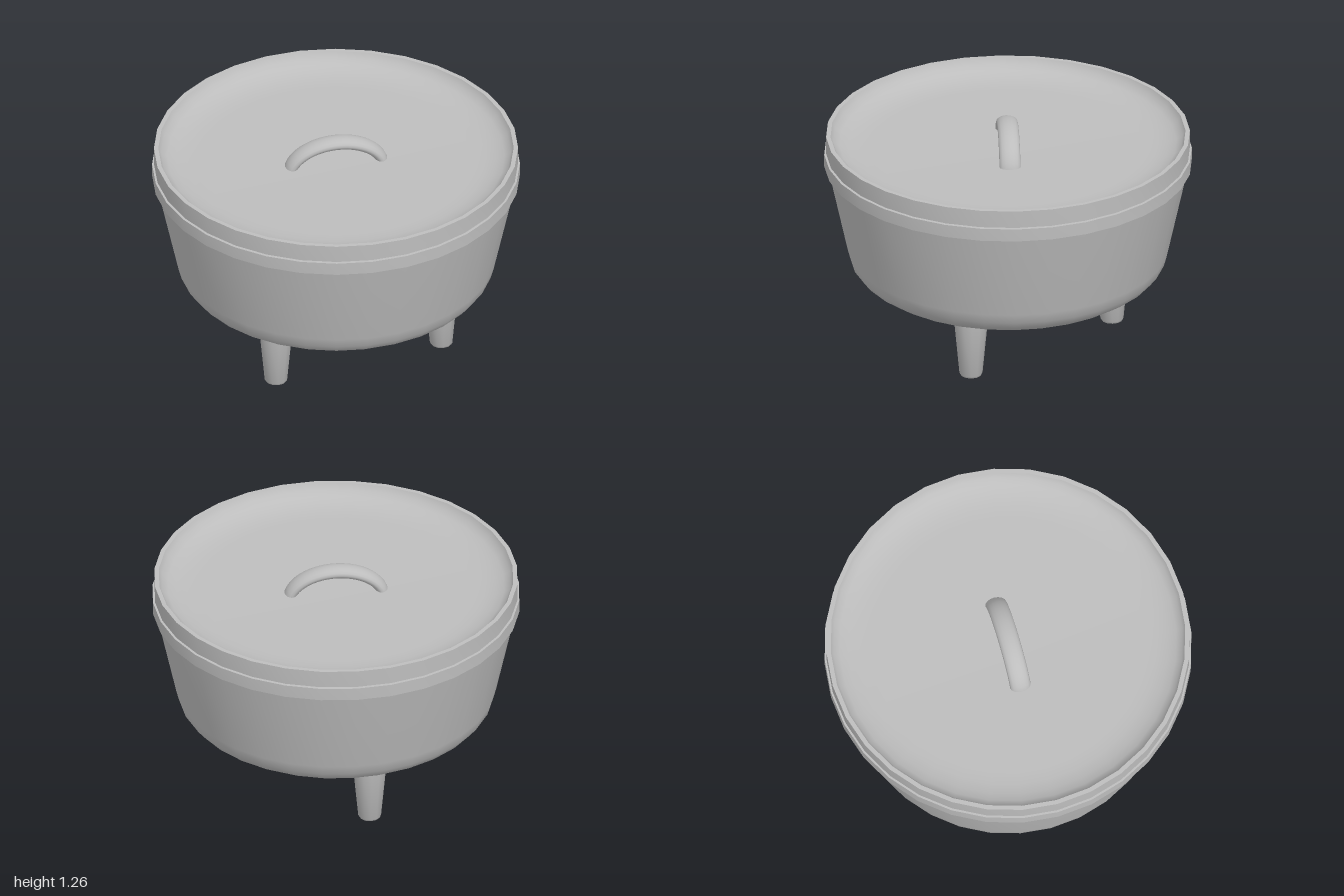
import * as THREE from 'three';
import { toCreasedNormals } from 'three/addons/utils/BufferGeometryUtils.js';

const SIDES = 32;

// Turned part from [radius, height] pairs, smooth except at sharp corners
function turned(name, profile, material, sides = SIDES) {
  const points = profile.map(([r, y]) => new THREE.Vector2(r, y));
  const mesh = new THREE.Mesh(toCreasedNormals(new THREE.LatheGeometry(points, sides), 0.7), material);
  mesh.name = name;
  return mesh;
}

export function createModel() {
  const group = new THREE.Group();
  group.name = 'footedPot';
  const iron = new THREE.MeshStandardMaterial({ color: 0xbdbdbd });
  iron.name = 'cast iron grey';

  // Pot: shallow rounded base, flared wall, projecting rim
  group.add(turned('pot', [
    [0, 0.285], [0.4, 0.288], [0.52, 0.302], [0.64, 0.325], [0.76, 0.37],
    [0.82, 0.41], [0.855, 0.455], [0.87, 0.51],
    [0.98, 1.015], [0.998, 1.015], [0.998, 1.087], [0.9, 1.087], [0, 1.087],
  ], iron));

  // Lid: raised edge around a dished plate, with a thin seam underneath
  group.add(turned('lid', [
    [0.975, 1.08], [0.975, 1.092], [0.988, 1.092], [0.988, 1.19], [0.964, 1.19],
    [0.948, 1.158], [0.915, 1.137], [0.87, 1.12], [0.81, 1.108], [0.74, 1.105], [0, 1.105],
  ], iron));

  // Handle: tube along half an ellipse, widened sideways, ends sunk into the lid
  const arc = Array.from({ length: 13 }, (_, i) => {
    const t = 0.1 + (i / 12) * (Math.PI - 0.2);
    return new THREE.Vector3(0.26 * Math.cos(t), 1.05 + 0.175 * Math.sin(t), 0);
  });
  const handleGeo = new THREE.TubeGeometry(new THREE.CatmullRomCurve3(arc), 24, 0.033, 16);
  handleGeo.scale(1, 1, 1.74);
  const handle = new THREE.Mesh(handleGeo, iron);
  handle.name = 'handle';
  group.add(handle);

  // Three tapered legs with softened feet
  const legs = [[-0.415, 0.41], [0.537, 0.225], [-0.12, -0.57]];
  for (const [x, z] of legs) {
    const leg = turned('leg', [
      [0, 0], [0.046, 0], [0.057, 0.005], [0.063, 0.016], [0.093, 0.34], [0.07, 0.36], [0, 0.36],
    ], iron, 12);
    leg.position.set(x, 0, z);
    group.add(leg);
  }
  return group;
}
